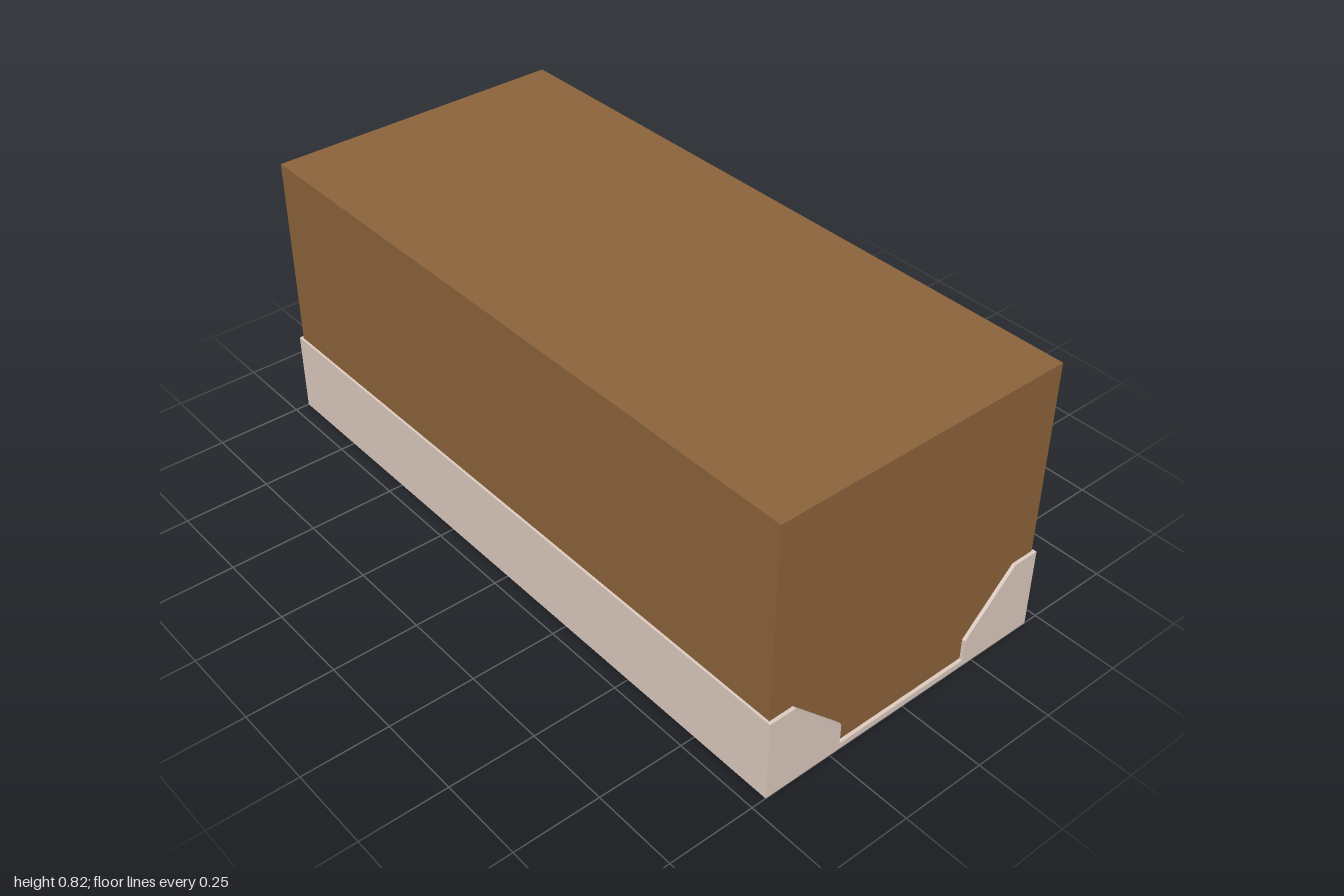
import * as THREE from 'three';

export function createModel() {
  const model = new THREE.Group();

  // Cradle: notched profile, mirrored left to right, extruded along z
  const half = [[0.457, 0], [0.457, 0.243], [0.377, 0.243], [0.217, 0.083], [0.217, 0.018]];
  const mirrored = half.map(([x, y]) => [-x, y]).reverse();
  const profile = new THREE.Shape([...half, ...mirrored].map(([x, y]) => new THREE.Vector2(x, y)));
  const cradle = new THREE.Mesh(
    new THREE.ExtrudeGeometry(profile, { depth: 2, bevelEnabled: false }).translate(0, 0, -1),
    new THREE.MeshStandardMaterial({ color: 0xdccabf })
  );
  cradle.name = 'cradle';

  // Block: sits in the cradle, slightly inset on every side
  const bottom = 0.01, top = 0.82;
  const block = new THREE.Mesh(
    new THREE.BoxGeometry(0.9, top - bottom, 1.98),
    new THREE.MeshStandardMaterial({ color: 0x8b633a })
  );
  block.position.y = (top + bottom) / 2;
  block.name = 'block';

  model.add(cradle, block);
  return model;
}
